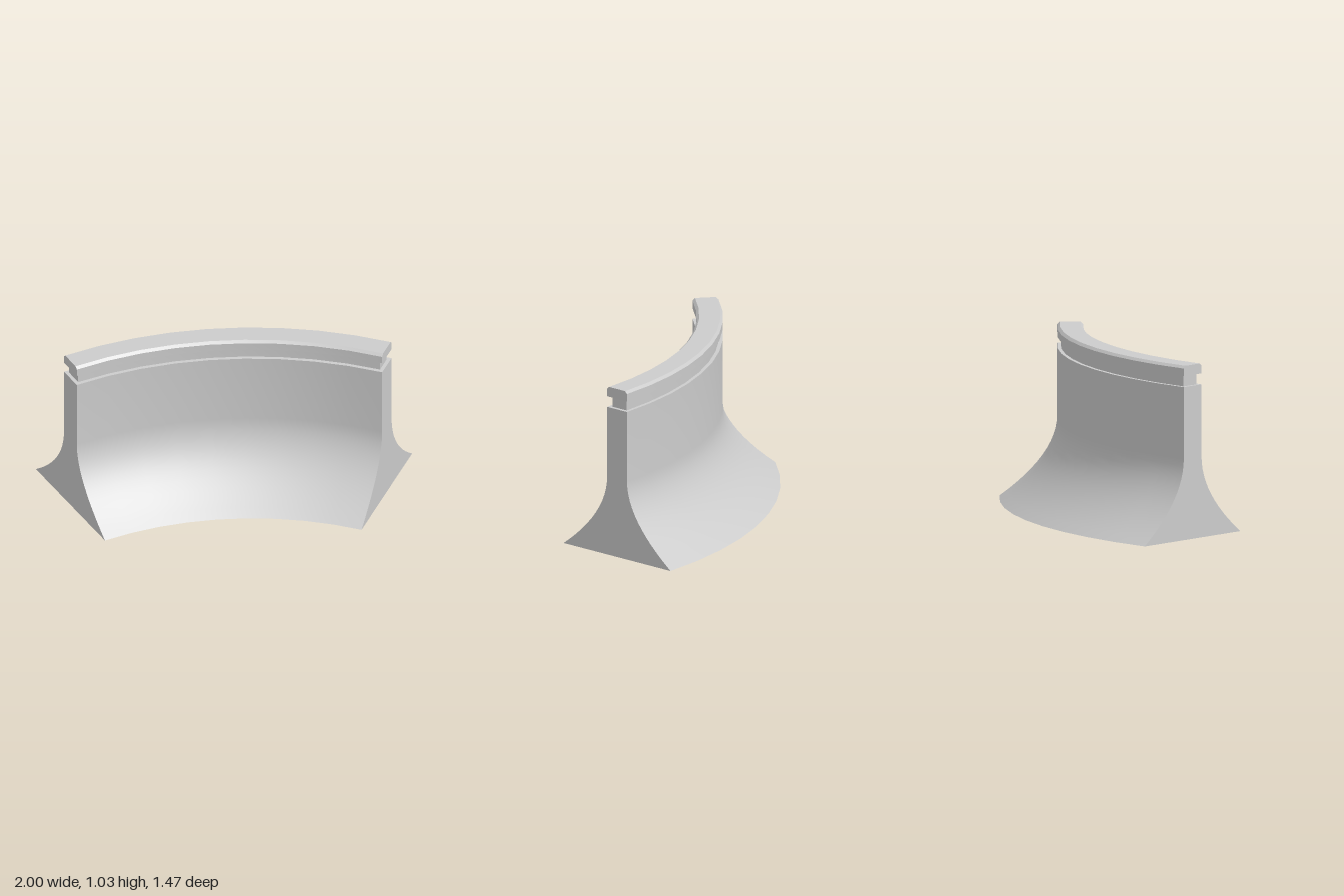
import * as THREE from 'three';
import { toCreasedNormals } from 'three/addons/utils/BufferGeometryUtils.js';

const RADIUS = 2.196, CENTER_X = 1, CENTER_Z = 1.878;
const SWEEP = THREE.MathUtils.degToRad(50), STEPS = 9;
const material = new THREE.MeshStandardMaterial({ color: 0xcccccc, side: THREE.DoubleSide });

// Mirror the outer half of a cross-section (bottom to top) into a full one
function mirrored(half) {
  const inner = half.map((p) => new THREE.Vector2(-p.x, p.y));
  return [...inner, ...[...half].reverse()];
}

// Sweep a cross-section round the arc; inset pulls both ends in
function sweep(name, half, inset, closed) {
  const profile = mirrored(half), n = profile.length;
  const a0 = inset / RADIUS, a1 = SWEEP - a0;
  const positions = [], index = [];
  for (let s = 0; s <= STEPS; s++) {
    const a = THREE.MathUtils.lerp(a0, a1, s / STEPS);
    for (const p of profile) {
      const r = RADIUS + p.x;
      positions.push(CENTER_X - r * Math.sin(a), p.y, CENTER_Z - r * Math.cos(a));
    }
  }
  // Skin along the arc
  for (let s = 0; s < STEPS; s++) {
    for (let i = 0; i < (closed ? n : n - 1); i++) {
      const j = (i + 1) % n;
      const a = s * n + i, b = s * n + j, c = b + n, d = a + n;
      index.push(a, b, c, a, c, d);
    }
  }
  // Flat end faces
  const contour = [...profile].reverse();
  for (const face of THREE.ShapeUtils.triangulateShape(contour, [])) {
    const [a, b, c] = face.map((k) => n - 1 - k);
    const e = STEPS * n;
    index.push(a, b, c, e + a, e + c, e + b);
  }
  const geometry = new THREE.BufferGeometry();
  geometry.setAttribute('position', new THREE.Float32BufferAttribute(positions, 3));
  geometry.setIndex(index);
  const mesh = new THREE.Mesh(toCreasedNormals(geometry, 0.5), material);
  mesh.name = name;
  return mesh;
}

export function createModel() {
  const group = new THREE.Group();
  group.name = 'curvedWall';
  const v = (x, y) => new THREE.Vector2(x, y);

  // Upright wall flaring out to a wide foot, hollow underneath
  const flare = new THREE.QuadraticBezierCurve(v(0.415, 0), v(0.077, 0.25), v(0.077, 0.48));
  group.add(sweep('wallBody', [...flare.getPoints(12), v(0.077, 0.905)], 0, false));

  // Recessed neck, set back on the sides and at both ends
  group.add(sweep('neck', [v(0.055, 0.905), v(0.055, 0.97)], 0.022, true));

  // Coping with chamfered long edges
  group.add(sweep('coping', [v(0.077, 0.97), v(0.077, 1.015), v(0.062, 1.03)], 0, true));

  return group;
}
